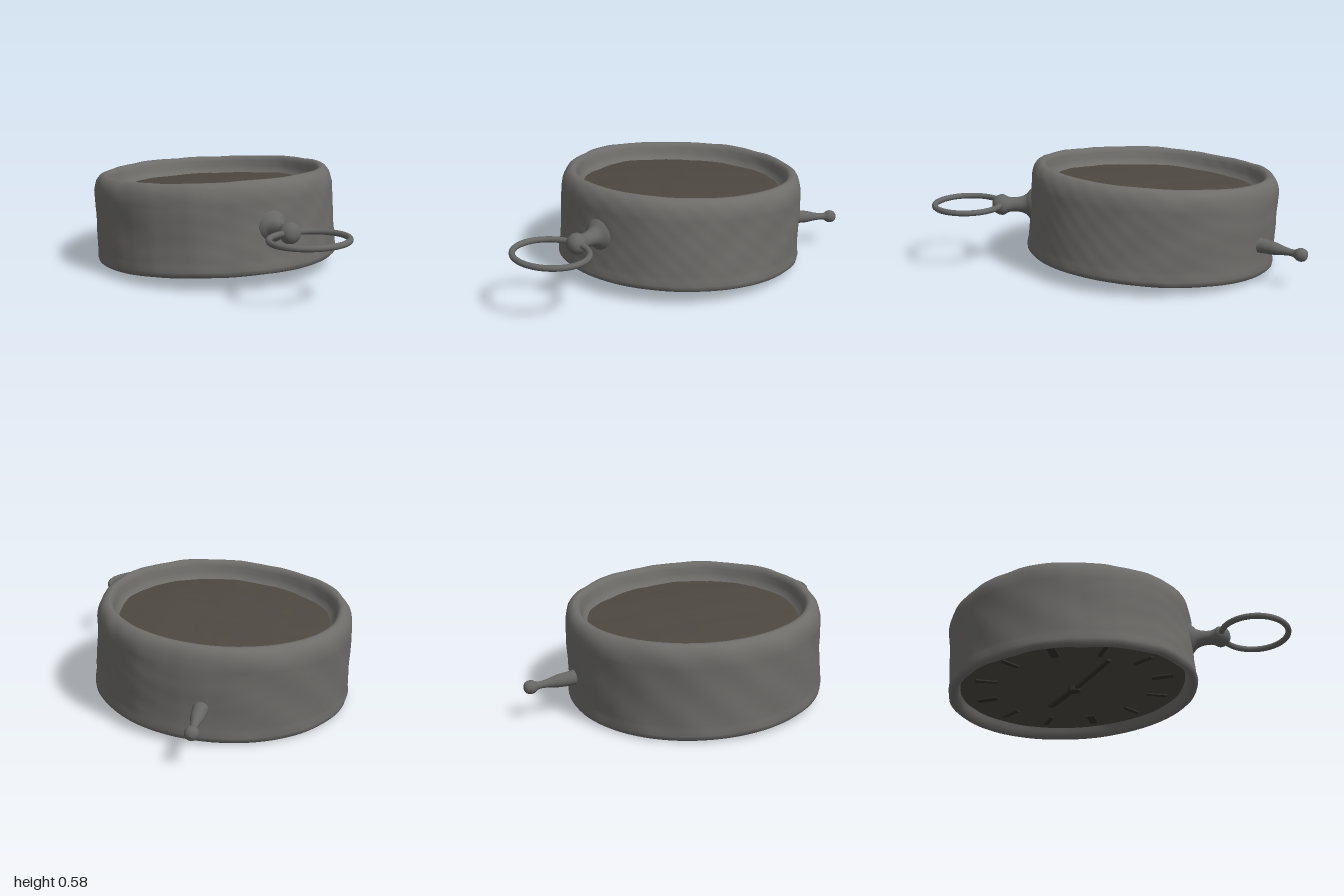
import * as THREE from 'three';
import { mergeVertices } from 'three/addons/utils/BufferGeometryUtils.js';

const metal = new THREE.MeshStandardMaterial({ color: 0x6e6d6a });
const steel = new THREE.MeshStandardMaterial({ color: 0x666665 });
const brown = new THREE.MeshStandardMaterial({ color: 0x4d4840 });
const dark = new THREE.MeshStandardMaterial({ color: 0x34322e });

// Smooth worn-metal unevenness, driven by position
const dent = (x, y, z) =>
  Math.sin(5 * x + 3 * y + 1) * Math.sin(6 * z - 4 * y) * 0.5 +
  Math.sin(17 * x - 11 * y) * Math.sin(15 * z + 13 * y + 2) * 0.3 +
  Math.sin(39 * x + 31 * y) * Math.sin(37 * z - 29 * y) * 0.12;

// Turned shape from [radius, height] pairs, dented by an amount
function turned(name, pairs, material, amount = 0, segments = 128) {
  let g = new THREE.LatheGeometry(pairs.map(([r, y]) => new THREE.Vector2(r, y)), segments);
  g.deleteAttribute('uv');
  g.deleteAttribute('normal');
  g = mergeVertices(g, 1e-5);
  const p = g.attributes.position;
  for (let i = 0; i < p.count; i++) {
    const x = p.getX(i), y = p.getY(i), z = p.getZ(i);
    const d = amount * dent(x, y, z), r = Math.hypot(x, z);
    const s = r > 0.01 ? 1 + d / Math.max(r, 0.3) : 1;
    p.setXYZ(i, x * s, y + d * 0.6, z * s);
  }
  g.computeVertexNormals();
  const m = new THREE.Mesh(g, material);
  m.name = name;
  return m;
}

// Turned part whose axis runs from a point along a direction
function aimed(mesh, from, direction) {
  mesh.position.copy(from);
  mesh.quaternion.setFromUnitVectors(new THREE.Vector3(0, 1, 0), direction.clone().normalize());
  return mesh;
}

// Sample a smooth curve through profile points
function smooth(pairs, count) {
  const c = new THREE.CatmullRomCurve3(pairs.map(([r, y]) => new THREE.Vector3(r, y, 0)), false, 'centripetal');
  return c.getPoints(count).map(v => [Math.max(v.x, 0), v.y]);
}

// Flat bar on the dial, at an angle and distance from the centre
function dialBar(name, angle, distance, width, length, y, material) {
  const m = new THREE.Mesh(new THREE.BoxGeometry(width, 0.012, length), material);
  m.name = name;
  m.position.set(Math.sin(angle) * distance, y, Math.cos(angle) * distance);
  m.rotation.y = angle;
  return m;
}

export function createModel() {
  const model = new THREE.Group();
  model.name = 'pocketWatch';

  // Case lies face down, slightly tilted
  const body = new THREE.Group();
  body.name = 'case';
  body.position.set(-0.005, 0.302, -0.243);
  body.rotation.set(-0.06, 0, 0.012);
  body.scale.z = 1.01;
  model.add(body);

  const wall = [[0.625, -0.19], [0.635, -0.215], [0.645, -0.24], [0.66, -0.252], [0.678, -0.252], [0.691, -0.24], [0.695, -0.22], [0.69, -0.19]];
  for (let i = 1; i <= 14; i++) wall.push([0.69 - 0.002 * Math.sin(i * 0.2), -0.19 + i * 0.025]);
  wall.push([0.684, 0.19], [0.676, 0.215], [0.66, 0.238], [0.64, 0.25], [0.622, 0.25], [0.608, 0.24],
    [0.6, 0.22], [0.594, 0.19], [0.584, 0.165], [0.565, 0.148]);
  body.add(turned('caseBand', wall, metal, 0.011, 160));

  // Sunken, gently domed back cover
  const cover = [];
  for (let i = 0; i <= 16; i++) {
    const r = 0.58 * (1 - i / 16);
    cover.push([r, 0.15 + 0.025 * (1 - (r / 0.58) ** 2)]);
  }
  body.add(turned('backCover', cover, brown, 0.012));

  // Recessed dial, facing down
  const dial = [];
  for (let i = 0; i <= 12; i++) dial.push([0.64 * i / 12, -0.195]);
  body.add(turned('dial', dial, brown, 0.003));

  for (let i = 0; i < 12; i++) {
    const a = i * Math.PI / 6;
    body.add(dialBar('hourMark', a, 0.5, i % 3 ? 0.025 : 0.045, 0.12, -0.197, dark));
  }
  body.add(dialBar('hourHand', 2.3, 0.13, 0.035, 0.3, -0.204, dark));
  body.add(dialBar('minuteHand', -0.9, 0.2, 0.025, 0.45, -0.208, dark));
  const hub = new THREE.Mesh(new THREE.CylinderGeometry(0.035, 0.035, 0.025, 20), dark);
  hub.name = 'handHub';
  hub.position.y = -0.207;
  body.add(hub);

  // Flared neck ending in a knob
  const neck = smooth([[0.11, 0], [0.085, 0.045], [0.055, 0.075], [0.043, 0.11], [0.04, 0.15], [0.046, 0.175],
    [0.057, 0.195], [0.058, 0.215], [0.045, 0.245], [0.022, 0.26], [0, 0.263]], 44);
  model.add(aimed(turned('neckAndKnob', neck, steel, 0.004, 32),
    new THREE.Vector3(-0.022, 0.342, 0.4), new THREE.Vector3(0, 0, 1)));

  // Oval hanging ring through the knob
  const oval = [];
  for (let i = 0; i < 32; i++) {
    const a = i * Math.PI / 16;
    oval.push(new THREE.Vector3(0.213 * Math.cos(a), 0, 0.185 * Math.sin(a)));
  }
  const ring = new THREE.Mesh(
    new THREE.TubeGeometry(new THREE.CatmullRomCurve3(oval, true), 96, 0.0165, 12, true), steel);
  ring.name = 'hangingRing';
  ring.position.set(-0.025, 0.346, 0.798);
  model.add(ring);

  // Side lever with a ball tip
  const lever = smooth([[0.05, 0], [0.04, 0.05], [0.037, 0.09], [0.034, 0.13], [0.024, 0.18], [0.019, 0.225],
    [0.022, 0.245], [0.034, 0.265], [0.036, 0.285], [0.026, 0.307], [0, 0.318]], 44);
  const from = new THREE.Vector3(0.405, 0.207, -0.745);
  model.add(aimed(turned('sideLever', lever, steel, 0.003, 24), from,
    new THREE.Vector3(0.58, 0.19, -0.965).sub(from)));

  return model;
}
